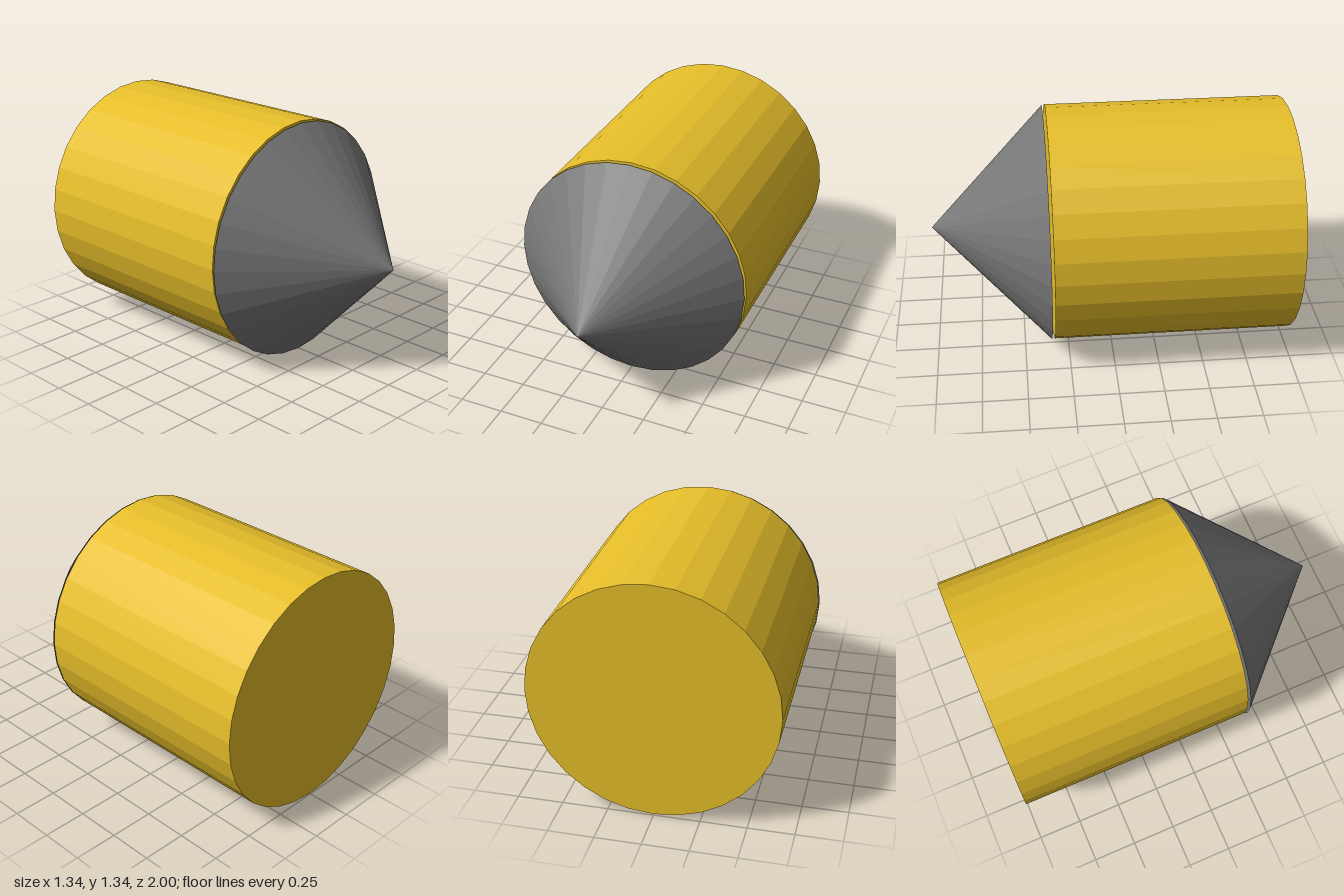
import * as THREE from 'three';

const SIDES = 32;
const RADIUS = 0.667;

// Adds a flat-shaded round part whose axis runs along z, with its top end facing the front
function addPart(group, name, geometry, color, x, y, z) {
  geometry.rotateX(Math.PI / 2);
  const material = new THREE.MeshStandardMaterial({ color, flatShading: true });
  const mesh = new THREE.Mesh(geometry, material);
  mesh.name = name;
  mesh.position.set(x, y, z);
  group.add(mesh);
}

export function createModel() {
  const group = new THREE.Group();
  group.name = 'pointedCylinder';

  // Yellow body, capped at both ends
  const back = -1, front = 0.335;
  addPart(group, 'body', new THREE.CylinderGeometry(RADIUS, RADIUS, front - back, SIDES),
    0xe6be2a, 0.003, 0.675, (back + front) / 2);

  // Dark nose cone, separated from the body by a thin gap and set slightly off its axis
  const base = 0.35, tip = 1;
  addPart(group, 'noseCone', new THREE.ConeGeometry(RADIUS, tip - base, SIDES),
    0x777777, -0.002, 0.668, (base + tip) / 2);

  return group;
}
